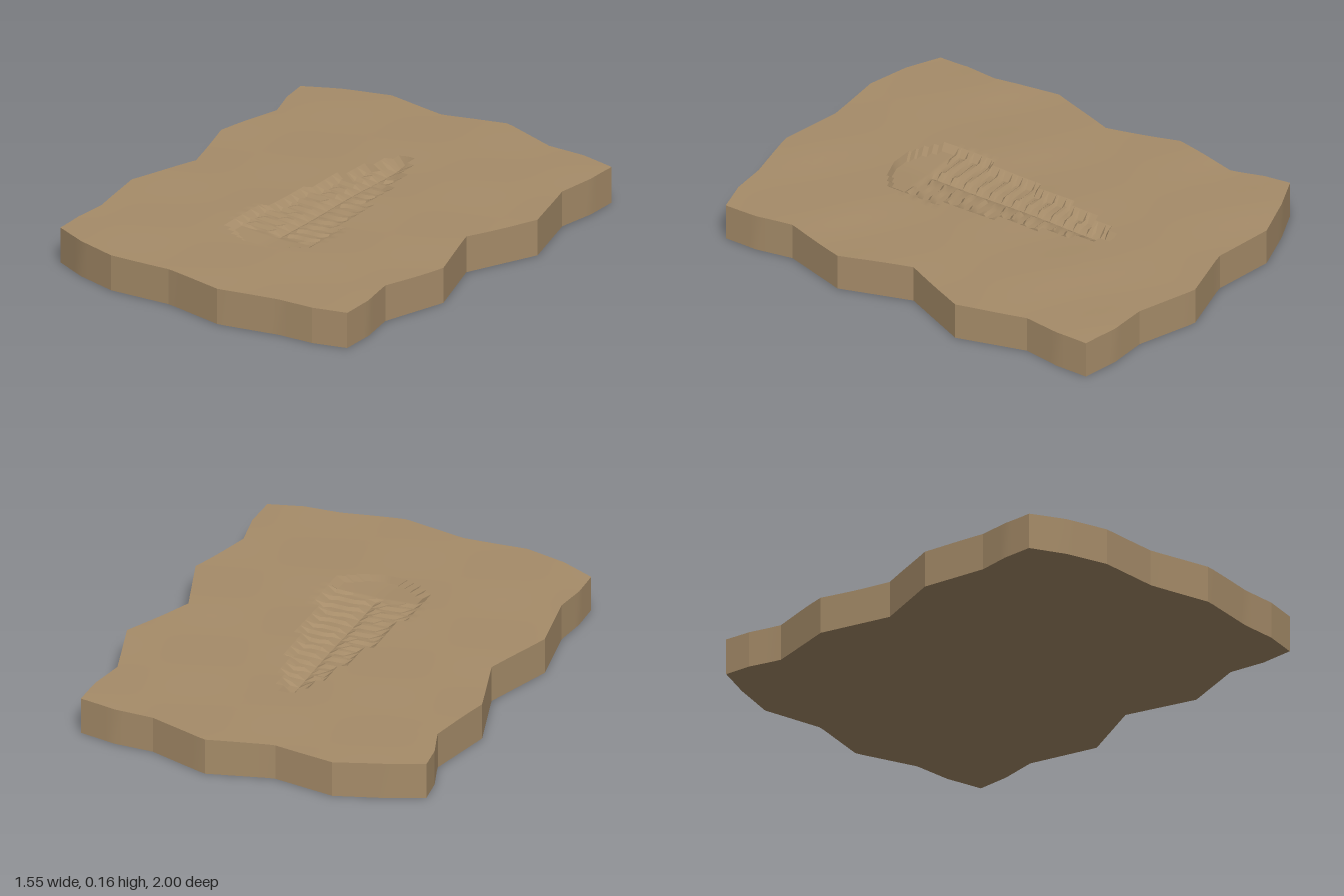
import * as THREE from 'three';
import { toCreasedNormals } from 'three/addons/utils/BufferGeometryUtils.js';

// Wavy outline of the slab: [along, across] points for each side
const LEFT = [[-0.9, -0.76], [-0.75, -0.745], [-0.58, -0.70], [-0.29, -0.765], [0.01, -0.675], [0.31, -0.775], [0.59, -0.725], [0.75, -0.74], [0.9, -0.735]];
const RIGHT = [[-0.9, 0.715], [-0.75, 0.715], [-0.58, 0.69], [-0.29, 0.775], [0.01, 0.64], [0.31, 0.74], [0.59, 0.655], [0.75, 0.685], [0.9, 0.685]];
const BACK = [[-0.7, -0.83], [-0.57, -0.90], [-0.41, -0.965], [-0.14, -0.925], [0.13, -1], [0.39, -0.915], [0.55, -0.915], [0.7, -0.885]];
const FRONT = [[-0.7, 0.86], [-0.57, 0.925], [-0.41, 0.97], [-0.14, 0.95], [0.13, 1], [0.39, 0.945], [0.55, 0.935], [0.7, 0.895]];

function sample(points, t) {
  let i = 1;
  while (i < points.length - 1 && points[i][0] < t) i++;
  const [a, b] = [points[i - 1], points[i]];
  return THREE.MathUtils.mapLinear(t, a[0], b[0], a[1], b[1]);
}

// Grid line positions: regular steps between the given stops
function gridLines(stops, step) {
  const lines = [stops[0]];
  for (let i = 1; i < stops.length; i++) {
    const a = stops[i - 1], b = stops[i], n = Math.max(1, Math.round((b - a) / step));
    for (let j = 1; j <= n; j++) lines.push(a + (b - a) * j / n);
  }
  return lines;
}

// Imprint columns are 0.034 wide; each begins at its own z, so the sides step outward
const COL = 0.034, MID = -0.01, ROW = 0.0125;
const STARTS = [-0.495, -0.455, -0.36, -0.22, -0.03, 0.22];

function imprintDepth(x, z) {
  const k = Math.round(Math.abs(x - MID) / COL);
  if (k >= STARTS.length || z < STARTS[k] || z > 0.54 - 0.075 * (k / 5) ** 2) return 0;
  const dish = 0.022 + 0.006 * (1 - k / 5);
  if (z > 0.39) return dish;                              // smooth head shield
  if (k === 0) return dish + 0.012;                       // central furrow
  const phase = ((z + 0.5 + k * 0.004) / 0.06) % 1;       // ribs of the body
  return dish + (phase < 0.4 ? -0.008 : 0.004);
}

function topHeight(x, z) {
  const wave = 0.002 * Math.sin(x * 11 + 1) * Math.cos(z * 8) + 0.0015 * Math.sin(x * 5 - z * 13);
  return 0.153 + wave - imprintDepth(x, z);
}

export function createModel() {
  const group = new THREE.Group();
  const material = new THREE.MeshStandardMaterial({ color: 0xa68c69, roughness: 0.9 });
  const add = (name, geometry) => {
    const mesh = new THREE.Mesh(geometry, material);
    mesh.name = name;
    group.add(mesh);
  };

  // Fine lines over the imprint, coarse lines toward the rim
  const columns = Array.from({ length: 15 }, (_, i) => MID + (i - 7) * COL);
  const xs = [
    ...gridLines([-0.7, -0.57, -0.41, columns[0]], 0.04), ...columns.slice(1),
    ...gridLines([columns[14], 0.39, 0.55, 0.7], 0.04).slice(1),
  ];
  const zs = [
    ...gridLines([-0.9, -0.75, -0.58, -0.52], 0.04),
    ...gridLines([-0.52, -0.29, 0.01, 0.31, 0.57], ROW).slice(1),
    ...gridLines([0.57, 0.59, 0.75, 0.9], 0.04).slice(1),
  ];
  const nx = xs.length, nz = zs.length;

  // Rectangular grid pulled out to the wavy outline near its border
  const points = [];
  for (const z0 of zs) for (const x0 of xs) {
    const wx = Math.max(0, (Math.abs(x0) - 0.41) / 0.29);
    const wz = Math.max(0, (Math.abs(z0) - 0.6) / 0.3);
    const x = x0 + wx * (sample(x0 < 0 ? LEFT : RIGHT, z0) - Math.sign(x0) * 0.7);
    const z = z0 + wz * (sample(z0 < 0 ? BACK : FRONT, x0) - Math.sign(z0) * 0.9);
    points.push(new THREE.Vector3(x, topHeight(x, z), z));
  }
  const index = [];
  for (let j = 0; j < nz - 1; j++) for (let i = 0; i < nx - 1; i++) {
    const a = j * nx + i, b = a + 1, c = a + nx, d = c + 1;
    index.push(a, c, b, b, c, d);
  }
  const top = new THREE.BufferGeometry().setFromPoints(points);
  top.setIndex(index);
  add('fossilSurface', toCreasedNormals(top, 0.4));

  // Border loop: front to the right, up the right side, back, then left side
  const loop = [];
  for (let i = 0; i < nx - 1; i++) loop.push(points[(nz - 1) * nx + i]);
  for (let j = nz - 1; j > 0; j--) loop.push(points[j * nx + nx - 1]);
  for (let i = nx - 1; i > 0; i--) loop.push(points[i]);
  for (let j = 0; j < nz - 1; j++) loop.push(points[j * nx]);

  // Upright rim between the border and the ground
  const rimPoints = [], rimIndex = [], n = loop.length;
  loop.forEach((p, i) => {
    rimPoints.push(p, new THREE.Vector3(p.x, 0, p.z));
    const a = 2 * i, b = 2 * ((i + 1) % n);
    rimIndex.push(a, a + 1, b, b, a + 1, b + 1);
  });
  const rim = new THREE.BufferGeometry().setFromPoints(rimPoints);
  rim.setIndex(rimIndex);
  add('slabRim', toCreasedNormals(rim, 0.2));

  // Flat underside
  const base = new THREE.ShapeGeometry(new THREE.Shape(loop.map((p) => new THREE.Vector2(p.x, p.z))));
  base.rotateX(Math.PI / 2);
  add('slabBase', base);

  return group;
}
